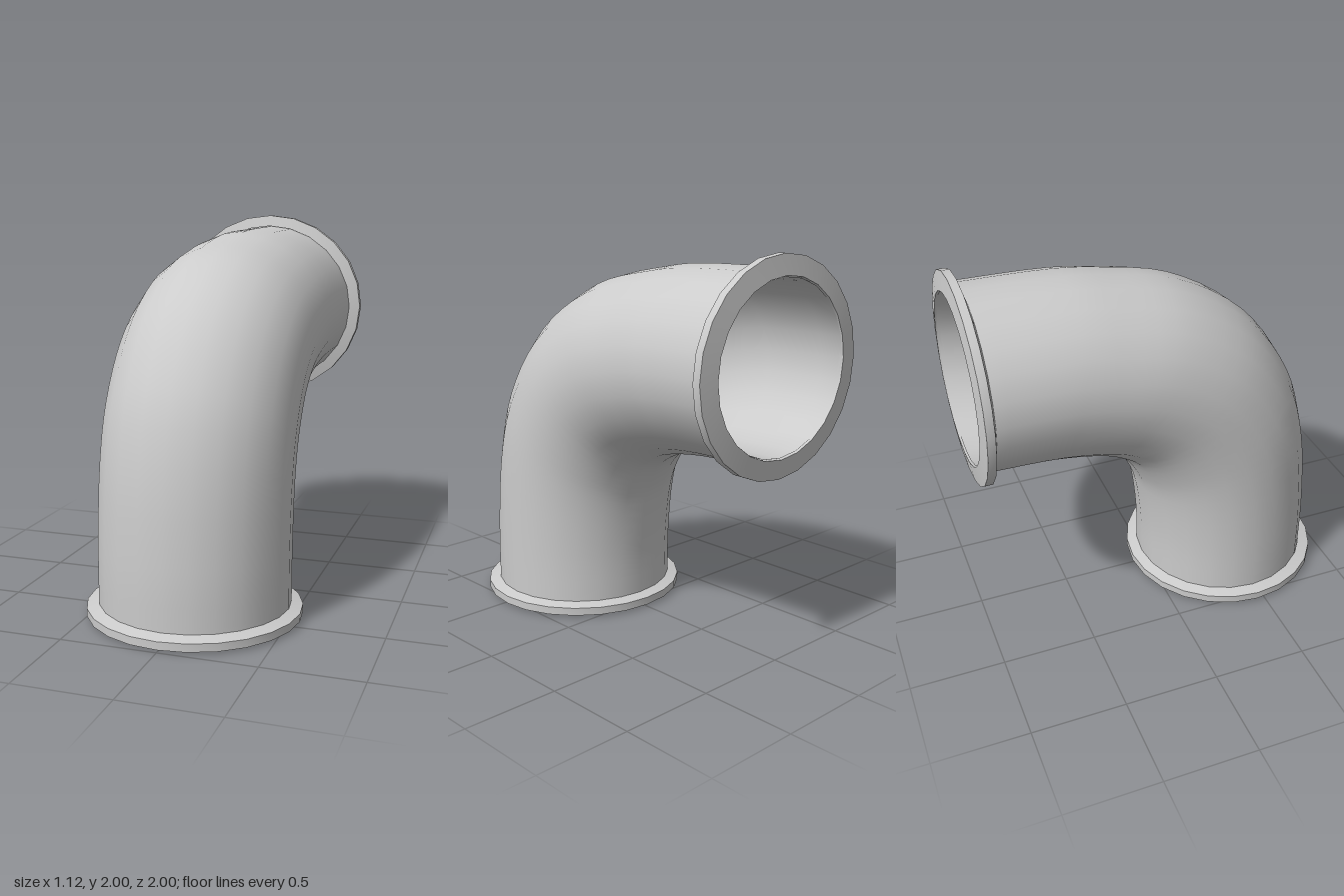
import * as THREE from 'three';
import { toCreasedNormals } from 'three/addons/utils/BufferGeometryUtils.js';

const SIDES = 24, STEPS = 32;
const material = new THREE.MeshStandardMaterial({ color: 0xcccccc, side: THREE.DoubleSide });

// Side outline of the bend as matching [z, y] points, bottom opening to back opening
const outer = [[0.93, 0.01], [0.93, 0.38], [0.887, 0.863], [0.78, 1.22], [0.535, 1.565],
  [0.168, 1.80], [-0.205, 1.89], [-0.434, 1.922], [-0.99, 1.937]];
const inner = [[-0.03, 0.01], [-0.035, 0.33], [-0.068, 0.6], [-0.104, 0.713], [-0.18, 0.84],
  [-0.285, 0.91], [-0.375, 0.943], [-0.6, 0.98], [-0.99, 0.995]];
const toCurve = (pts) => new THREE.CatmullRomCurve3(pts.map(([z, y]) => new THREE.Vector3(0, y, z)));

// Oval sections strung between the two outlines; shrink(t) scales each section
function bendGeometry(shrink) {
  const a = toCurve(outer), b = toCurve(inner);
  const positions = [], index = [];
  for (let i = 0; i <= STEPS; i++) {
    const t = i / STEPS, p = a.getPoint(t), q = b.getPoint(t);
    const centre = p.clone().add(q).multiplyScalar(0.5);
    const half = p.sub(centre).multiplyScalar(shrink(t));
    for (let j = 0; j < SIDES; j++) {
      const ang = (j / SIDES) * Math.PI * 2;
      const v = centre.clone().addScaledVector(half, Math.cos(ang));
      positions.push(0.5 * shrink(t) * Math.sin(ang), v.y, v.z);
      if (i === STEPS) continue;
      const k = (j + 1) % SIDES, r = i * SIDES, s = r + SIDES;
      index.push(r + j, r + k, s + j, r + k, s + k, s + j);
    }
  }
  const geo = new THREE.BufferGeometry();
  geo.setAttribute('position', new THREE.Float32BufferAttribute(positions, 3));
  geo.setIndex(index);
  geo.computeVertexNormals();
  return geo;
}

// Slightly dished oval collar; its open face lies at y = 0
function flangeGeometry(holeRadius, depthRatio) {
  const profile = [[holeRadius, 0.03], [holeRadius, 0], [0.56, 0.013], [0.56, 0.055], [0.495, 0.073]]
    .map(([r, y]) => new THREE.Vector2(r, y));
  const geo = new THREE.LatheGeometry(profile, SIDES).scale(1, 1, depthRatio);
  return toCreasedNormals(geo, 0.4);
}

export function createModel() {
  const group = new THREE.Group();
  const add = (name, geometry) => {
    const mesh = new THREE.Mesh(geometry, material);
    mesh.name = name;
    group.add(mesh);
    return mesh;
  };

  // Pipe walls
  add('pipeOuterWall', bendGeometry(() => 1));
  add('pipeInnerWall', bendGeometry((t) => 0.97 - 0.06 * t));

  // Collars at both openings
  add('bottomFlange', flangeGeometry(0.485, 0.97)).position.set(0, 0, 0.455);
  const back = add('backFlange', flangeGeometry(0.455, 0.955));
  back.rotation.x = Math.PI / 2;
  back.position.set(0, 1.466, -1);

  return group;
}
